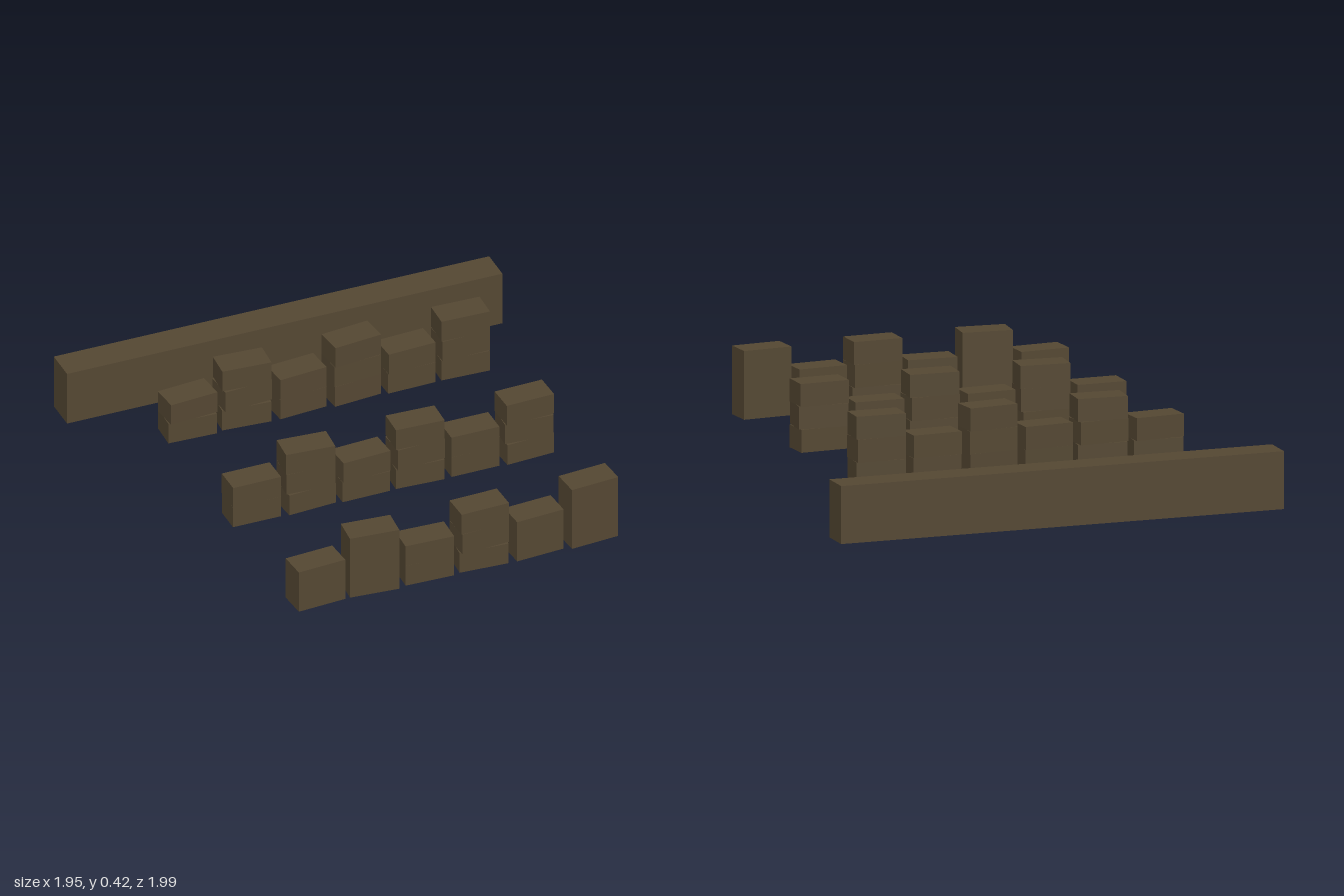
import * as THREE from 'three';

export function createModel() {
  const model = new THREE.Group();
  const earth = new THREE.MeshStandardMaterial({ color: 0x544732 });
  earth.name = 'darkEarth';

  // Long embankment along the back
  const wall = new THREE.Mesh(new THREE.BoxGeometry(1.95, 0.245, 0.142), earth);
  wall.name = 'backWall';
  wall.position.set(0, 0.1225, -0.929);
  model.add(wall);

  // Three rows of stacked blocks; each stack lists its turns in degrees, bottom to top
  const rows = [
    { name: 'rearRow', z: -0.439, turns: [[-2, 4.8], [-4, 4, -3.5], [4.5, 5], [5, 4, 6], [1.5, 3], [-2, 1.5, -1.5]] },
    { name: 'middleRow', z: 0.242, turns: [[0, 0.5], [4, -3, -4], [1, 3.5], [-2.5, 2.5, -2], [0.5, 0], [3.5, -3, 2]] },
    { name: 'frontRow', z: 0.926, turns: [[4, 4], [-4.5, -4.5, -4.5], [-1.5, -2], [-3, 3.5, 2], [4, 4], [4.5, 4.5, 4.5]] },
  ];
  const layer = 0.0968, base = 0.125, spacing = 0.2445;
  const blockGeometry = new THREE.BoxGeometry(0.215, layer, 0.12);

  for (const { name, z, turns } of rows) {
    const row = new THREE.Group();
    row.name = name;
    row.position.z = z;
    turns.forEach((stack, column) => {
      stack.forEach((angle, level) => {
        const block = new THREE.Mesh(blockGeometry, earth);
        block.name = 'block';
        block.position.set((column - 2.5) * spacing, base + (level + 0.5) * layer, 0);
        block.rotation.y = THREE.MathUtils.degToRad(angle);
        row.add(block);
      });
    });
    model.add(row);
  }
  return model;
}
